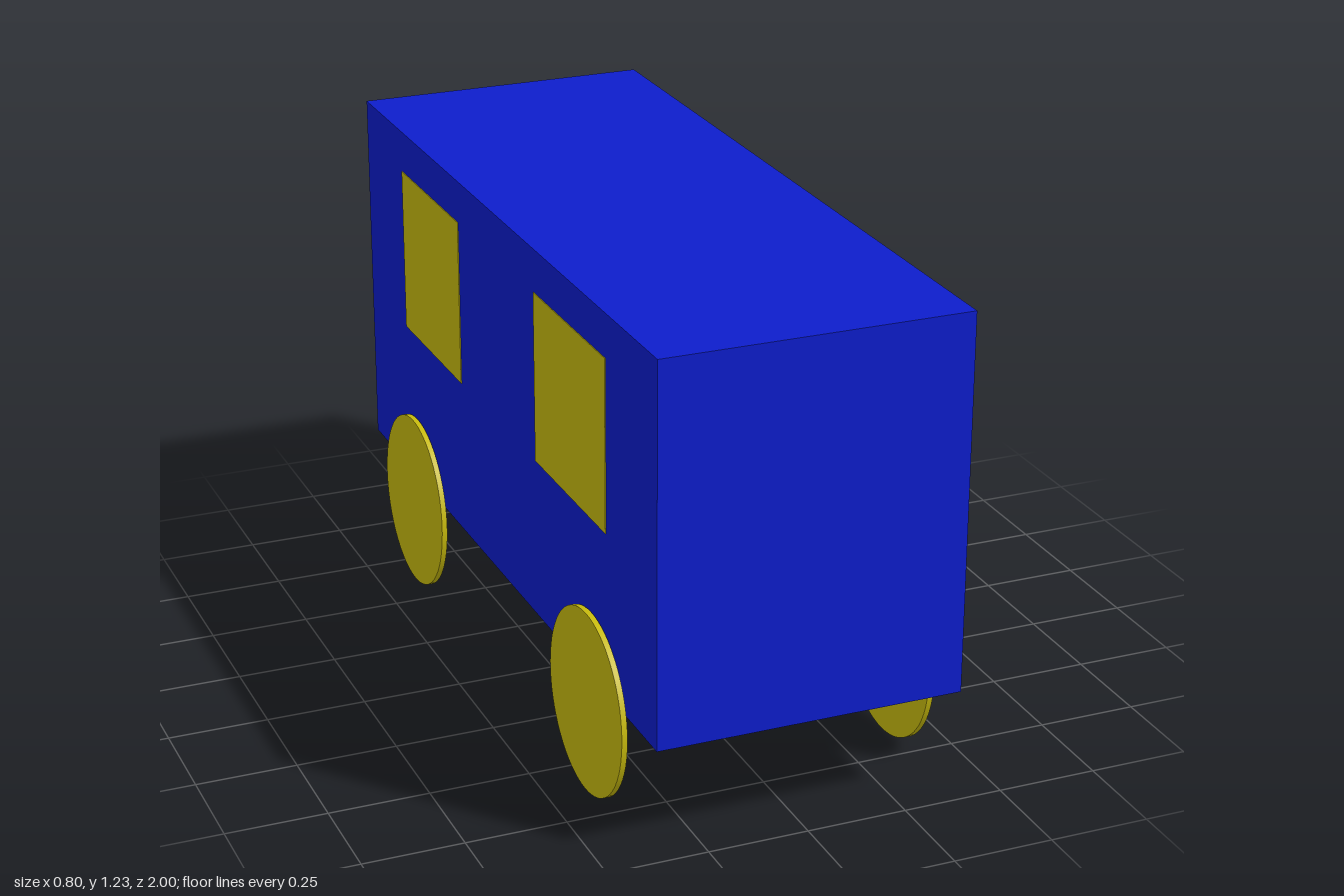
import * as THREE from 'three';

const blue = new THREE.MeshStandardMaterial({ color: 0x0d1dcc });
const yellow = new THREE.MeshStandardMaterial({ color: 0xc8bb0e });

export function createModel() {
  const model = new THREE.Group();
  model.name = 'van';

  const add = (name, geometry, material, x, y, z) => {
    const mesh = new THREE.Mesh(geometry, material);
    mesh.name = name;
    mesh.position.set(x, y, z);
    model.add(mesh);
    return mesh;
  };

  // Plain box body
  const left = 0.384, right = -0.379;
  add('body', new THREE.BoxGeometry(left - right, 0.943, 2), blue, (left + right) / 2, 0.7585, 0);

  // Thin disc wheels, all leaning slightly the same way
  const wheel = new THREE.CylinderGeometry(0.229, 0.229, 0.014, 64).rotateZ(Math.PI / 2);

  const sides = [
    { name: 'left', wall: left, wheelX: 0.389 },
    { name: 'right', wall: right, wheelX: -0.393 },
  ];
  const ends = [
    { name: 'Front', wheelZ: 0.615, windowZ: 0.475, windowWidth: 0.45 },
    { name: 'Rear', wheelZ: -0.632, windowZ: -0.496, windowWidth: 0.433 },
  ];
  for (const side of sides) {
    for (const end of ends) {
      add(side.name + end.name + 'Wheel', wheel, yellow, side.wheelX, 0.231, end.wheelZ).rotation.z = -0.014;

      // Window panel lying almost flush with the side wall
      add(side.name + end.name + 'Window', new THREE.BoxGeometry(0.004, 0.428, end.windowWidth), yellow,
        side.wall, 0.909, end.windowZ);
    }
  }
  return model;
}
